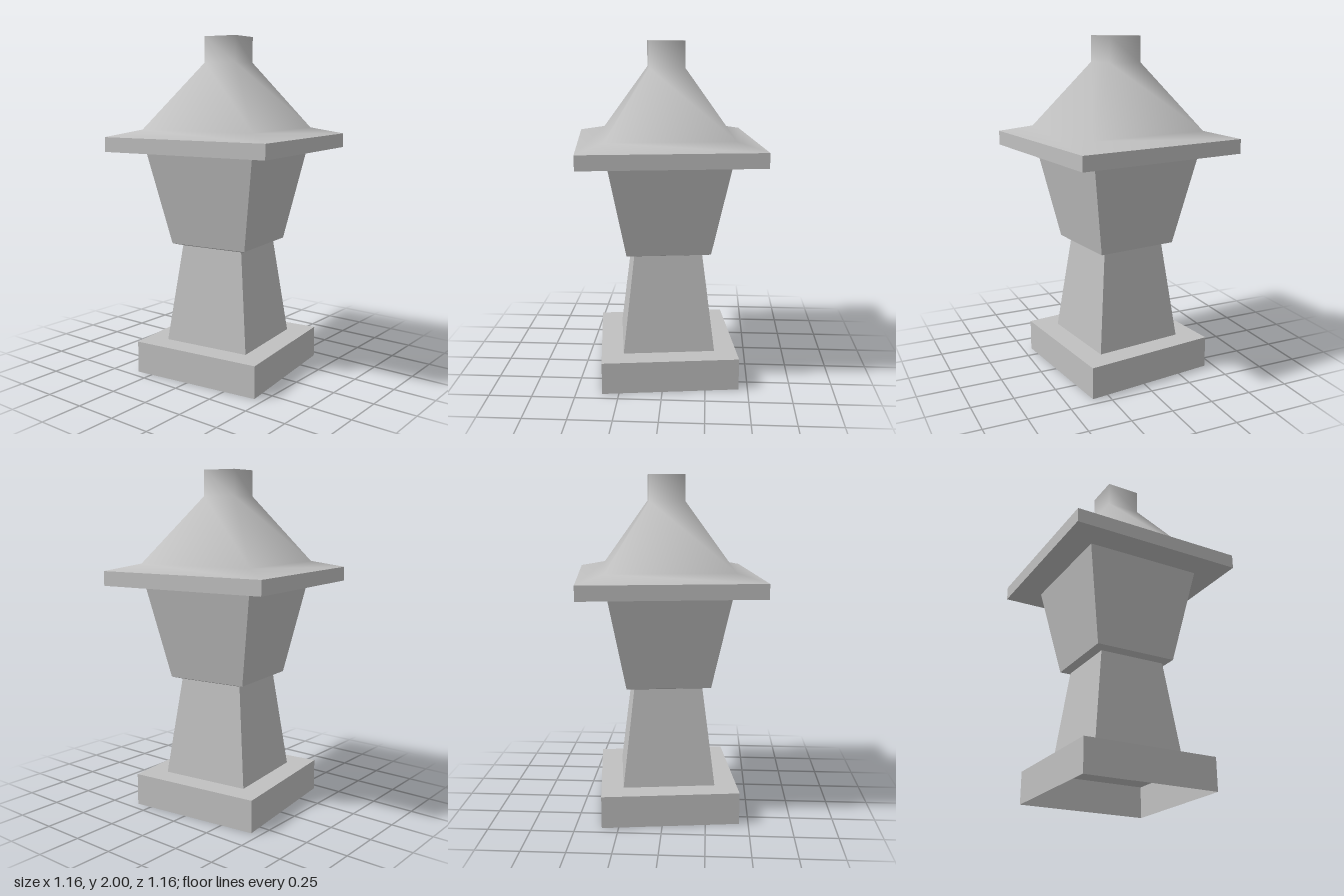
import * as THREE from 'three';

const stone = new THREE.MeshStandardMaterial({ color: 0xc0c0c0, side: THREE.DoubleSide });
stone.name = 'stone grey';

// Square shell from a bottom-to-top profile of [half width, height] points
function squareShell(name, profile, smooth = false) {
  const points = profile.map(([half, y]) => new THREE.Vector2(half * Math.SQRT2, y));
  let geometry = new THREE.LatheGeometry(points, 4, Math.PI / 4);
  if (!smooth) {
    geometry = geometry.toNonIndexed();
    geometry.computeVertexNormals();
  }
  const mesh = new THREE.Mesh(geometry, stone);
  mesh.name = name;
  return mesh;
}

export function createModel() {
  const lantern = new THREE.Group();
  lantern.name = 'stoneLantern';

  lantern.add(
    // Plinth, open underneath, with a ledge around the pillar
    squareShell('plinth', [[0.4, 0], [0.4, 0.19], [0.27, 0.19]]),
    // Tapering pillar
    squareShell('pillar', [[0.27, 0.19], [0.2, 0.77]]),
    // Flaring lamp housing with a narrow lip underneath
    squareShell('lampHousing', [[0.2, 0.77], [0.246, 0.785], [0.352, 1.34]]),
    // Flat eave slab
    squareShell('eaves', [[0.352, 1.34], [0.519, 1.34], [0.519, 1.425]]),
    // Softly shaded roof rising into the square finial
    squareShell('roof', [[0.519, 1.425], [0.365, 1.465], [0.103, 1.85], [0.103, 2]], true),
    squareShell('finialCap', [[0.103, 2], [0, 2]])
  );

  // The whole lantern stands slightly turned
  lantern.rotation.y = 0.126;
  const model = new THREE.Group();
  model.add(lantern);
  return model;
}
